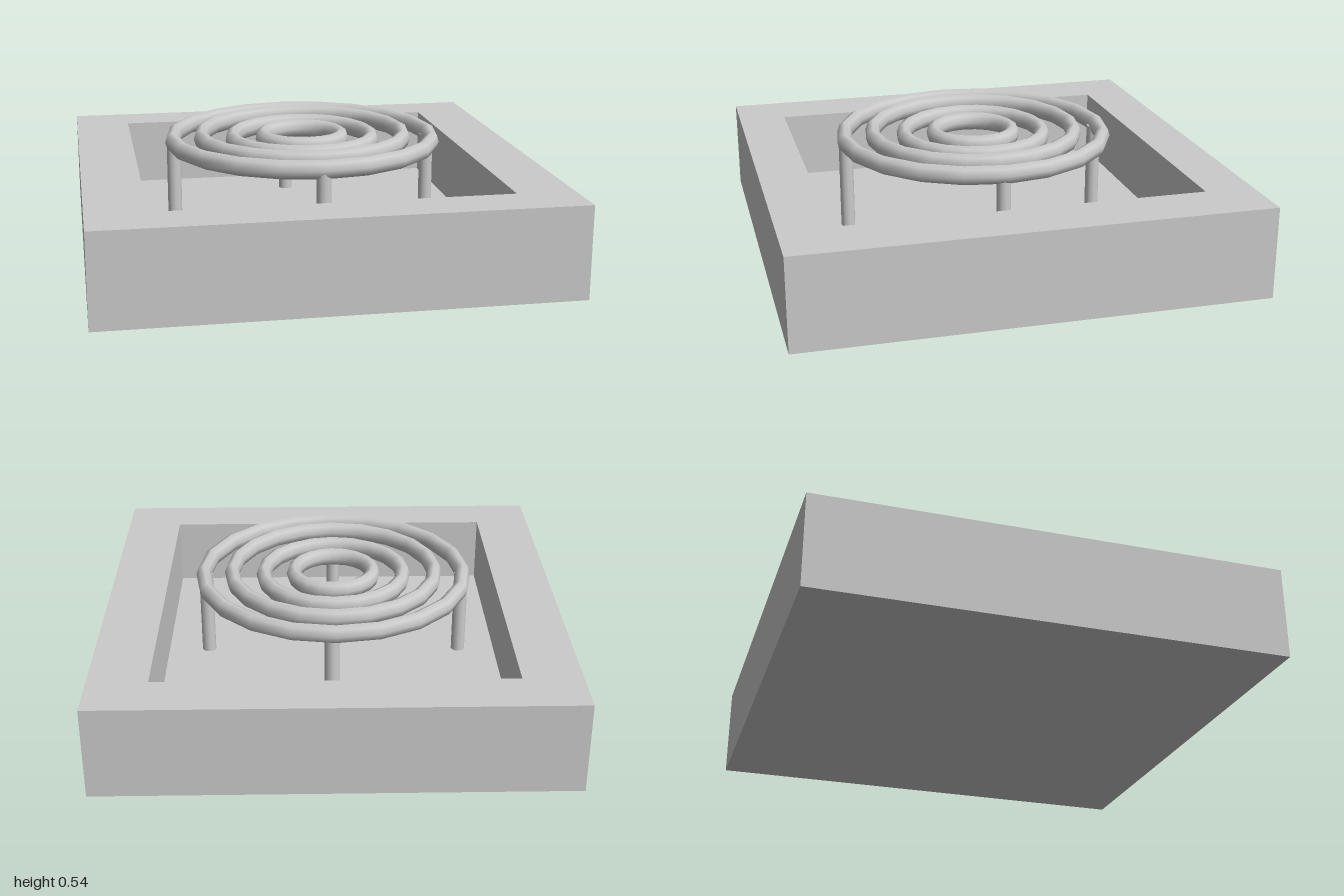
import * as THREE from 'three';

const grey = new THREE.MeshStandardMaterial({ color: 0xcccccc });
const flatGrey = new THREE.MeshStandardMaterial({ color: 0xcccccc, flatShading: true });

function addMesh(parent, name, geometry, material, x, y, z) {
  const mesh = new THREE.Mesh(geometry, material);
  mesh.name = name;
  mesh.position.set(x, y, z);
  parent.add(mesh);
  return mesh;
}

// Square tray: a four-sided lathe whose recess is stretched a little along z
function trayGeometry() {
  const inner = 0.75, innerZ = 0.786;
  const profile = [[0, 0], [1, 0], [1, 0.4], [inner, 0.4], [inner, 0.1], [0, 0.1]]
    .map(([r, y]) => new THREE.Vector2(r * Math.SQRT2, y));
  const geometry = new THREE.LatheGeometry(profile, 4, Math.PI / 4).toNonIndexed();
  const p = geometry.attributes.position;
  for (let i = 0; i < p.count; i++) {
    if (Math.abs(p.getX(i)) < 0.9) p.setZ(i, p.getZ(i) * innerZ / inner);
  }
  geometry.computeVertexNormals();
  return geometry;
}

export function createModel() {
  const model = new THREE.Group();
  model.name = 'ringBurner';
  addMesh(model, 'tray', trayGeometry(), flatGrey, 0, 0, 0);

  // Concentric rings, slightly taller than wide in section: [radius, height]
  const cx = -0.007, cz = 0.021;
  const rings = new THREE.Group();
  rings.name = 'rings';
  model.add(rings);
  [[0.177, 0.49], [0.313, 0.486], [0.455, 0.498], [0.583, 0.489]].forEach(([radius, y], i) => {
    const geometry = new THREE.TorusGeometry(radius, 0.033, 8, 20);
    geometry.rotateX(-Math.PI / 2).scale(1, 1.25, 1);
    addMesh(rings, `ring${i + 1}`, geometry, grey, cx, y, cz);
  });

  // Four legs from the tray floor up into the outer ring
  const legs = new THREE.Group();
  legs.name = 'legs';
  model.add(legs);
  const floor = 0.1, top = 0.485;
  const legGeometry = new THREE.CylinderGeometry(0.031, 0.031, top - floor, 12);
  const spots = { leftLeg: [0.567, 0.037], rightLeg: [-0.585, 0.02], frontLeg: [-0.016, 0.6], backLeg: [0.01, -0.548] };
  for (const [name, [x, z]] of Object.entries(spots)) {
    addMesh(legs, name, legGeometry, grey, x, (floor + top) / 2, z);
  }
  return model;
}
